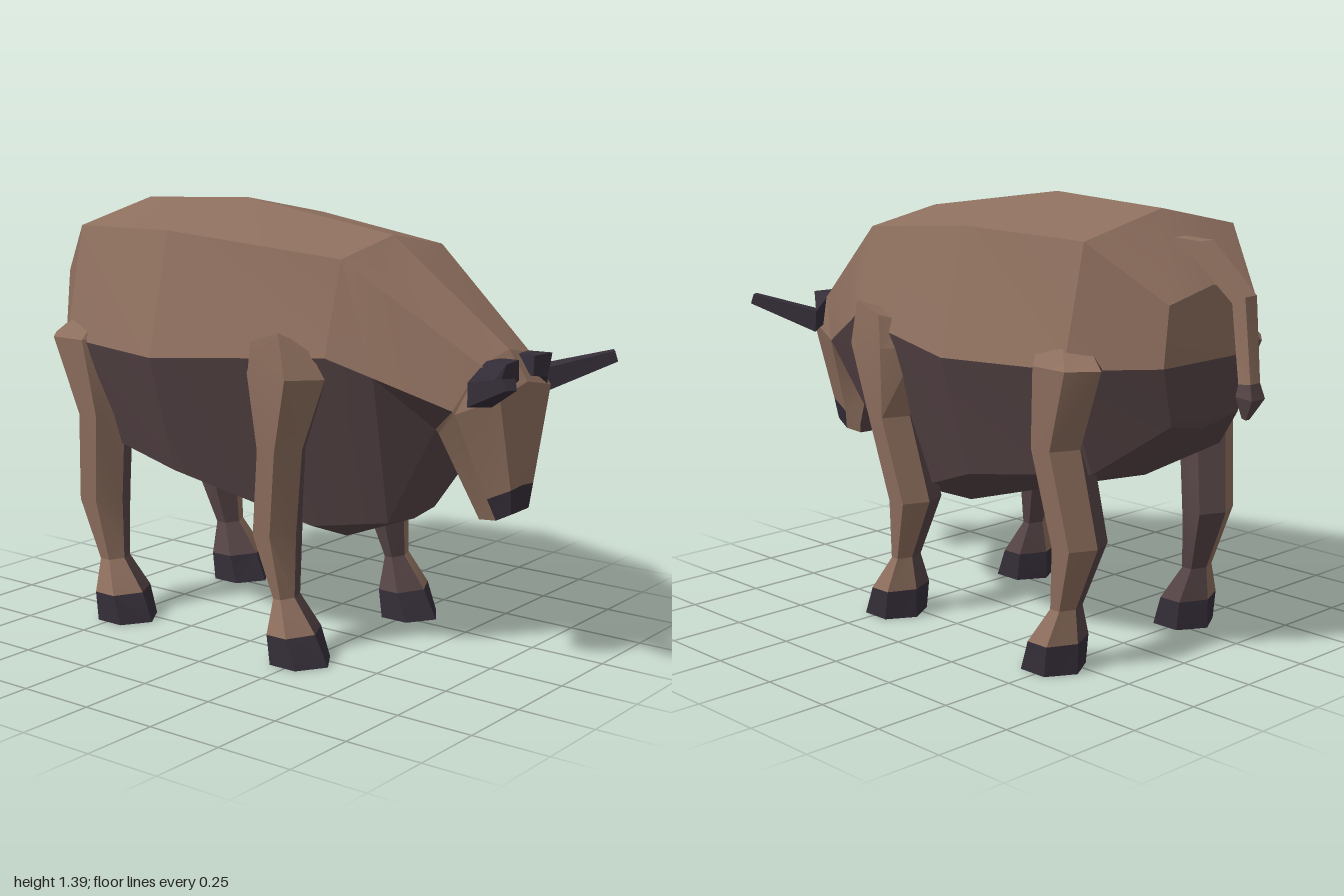
import * as THREE from 'three';
import { toCreasedNormals } from 'three/addons/utils/BufferGeometryUtils.js';

const V = (p) => new THREE.Vector3(...p);
const HIDE = 0, SHADE = 1, HORN = 2;

// Skin a list of closed rings, with end caps. paint(segment, strip) picks the colour.
function loft(name, rings, mats, paint, crease = 0.3) {
  const n = rings[0].length, last = rings.length - 1;
  const tris = [[], [], []];
  const quad = (m, a, b, c, d) => tris[m].push([a, b, c], [a, c, d]);
  for (let i = 0; i < last; i++) {
    for (let j = 0; j < n; j++) {
      const k = (j + 1) % n;
      quad(paint(i, j), rings[i][j], rings[i][k], rings[i + 1][k], rings[i + 1][j]);
    }
  }
  for (let j = 0; j < n / 2; j++) {
    const a = j, b = j + 1, c = (n - j - 1) % n, d = (n - j) % n;
    const s = rings[0], e = rings[last];
    quad(paint(0, j), s[d], s[c], s[b], s[a]);
    quad(paint(last - 1, j), e[a], e[b], e[c], e[d]);
  }
  // turn the skin outwards if its signed volume is negative
  let volume = 0;
  tris.flat().forEach(([a, b, c]) => { volume += V(a).dot(V(b).cross(V(c))); });
  const pos = [];
  const geo = new THREE.BufferGeometry();
  tris.forEach((list, m) => {
    const start = pos.length / 3;
    for (const [a, b, c] of list) {
      if (V(b).sub(V(a)).cross(V(c).sub(V(a))).length() < 1e-7) continue;
      pos.push(...a, ...(volume < 0 ? [...c, ...b] : [...b, ...c]));
    }
    if (pos.length / 3 > start) geo.addGroup(start, pos.length / 3 - start, m);
  });
  geo.setAttribute('position', new THREE.Float32BufferAttribute(pos, 3));
  const mesh = new THREE.Mesh(toCreasedNormals(geo, crease), mats);
  mesh.name = name;
  return mesh;
}

// Half profile [top, shoulder, side, lower, bottom] mirrored to a ring of eight
const mirrored = (h) => [...h, ...[3, 2, 1].map((i) => [h[i][0], h[i][1], -h[i][2]])];

// Square rings along a path of [x, y, z, radius]
function pathRings(path, ref) {
  return path.map((p, i) => {
    const a = path[Math.max(0, i - 1)], b = path[Math.min(path.length - 1, i + 1)];
    const t = V(b.slice(0, 3)).sub(V(a.slice(0, 3))).normalize();
    const u = V(ref).cross(t).normalize(), w = t.clone().cross(u);
    return [[1, 1], [1, -1], [-1, -1], [-1, 1]].map(([f, g]) =>
      V(p.slice(0, 3)).addScaledVector(u, f * p[3]).addScaledVector(w, g * p[3]).toArray());
  });
}

// Six-sided leg rings from rows of [y, back x, front x, inner z, outer z]
const legRings = (rows, s) => rows.map(([y, xb, xf, zi, zo, rise = 0]) => {
  const zm = (zi + zo) / 2, w = xf - xb;
  return [
    [xf, y, zm], [xf - w * 0.28, y + rise, zo], [xb + w * 0.25, y + rise * 0.4, zo],
    [xb, y, zm], [xb + w * 0.25, y, zi], [xf - w * 0.28, y, zi],
  ].map(([x, yy, z]) => [x, yy, z * s]);
});

export function createModel() {
  const mat = (name, color) => {
    const m = new THREE.MeshStandardMaterial({ color });
    m.name = name;
    return m;
  };
  const mats = [mat('brown hide', 0x8f705f), mat('dark underside', 0x574547), mat('horn and hoof', 0x352e39)];
  const model = new THREE.Group();
  model.name = 'bull';

  // Body, from rump to neck
  const neck = [[0.79, 1.0, 0], [0.78, 0.97, 0.14], [0.71, 0.83, 0.18], [0.6, 0.75, 0.1], [0.58, 0.74, 0]];
  const body = [
    [[-0.83, 1.17, 0], [-0.83, 1.13, 0.19], [-0.83, 0.95, 0.21], [-0.81, 0.77, 0.15], [-0.8, 0.74, 0]],
    [[-0.63, 1.375, 0], [-0.63, 1.305, 0.33], [-0.63, 0.945, 0.41], [-0.63, 0.62, 0.29], [-0.58, 0.56, 0]],
    [[-0.2, 1.395, 0], [-0.2, 1.32, 0.395], [-0.2, 0.935, 0.49], [-0.2, 0.56, 0.38], [-0.2, 0.45, 0]],
    [[0.37, 1.31, 0], [0.37, 1.26, 0.27], [0.37, 0.975, 0.35], [0.22, 0.41, 0.21], [0.2, 0.33, 0]],
    [[0.5, 1.214, 0], [0.5, 1.168, 0.229], [0.5, 0.92, 0.285], [0.45, 0.44, 0.13], [0.46, 0.43, 0]],
    neck,
  ].map(mirrored);
  const upper = (j) => j < 2 || j > 5;
  model.add(loft('body', body, mats, (i, j) => (upper(j) ? HIDE : SHADE)));

  // Head with dark muzzle
  const head = [
    neck,
    [[0.855, 0.91, 0], [0.85, 0.88, 0.145], [0.715, 0.82, 0.175], [0.605, 0.735, 0.09], [0.585, 0.73, 0]],
    [[0.845, 0.595, 0], [0.845, 0.59, 0.065], [0.77, 0.555, 0.075], [0.715, 0.51, 0.055], [0.71, 0.5, 0]],
    [[0.84, 0.525, 0], [0.84, 0.515, 0.05], [0.79, 0.488, 0.055], [0.725, 0.48, 0.045], [0.72, 0.48, 0]],
  ].map(mirrored);
  model.add(loft('head', head, mats, (i, j) => {
    if (i === 2 && upper(j)) return HORN;
    return j === 3 || j === 4 ? SHADE : HIDE;
  }));

  // Tail with dark tuft
  const tail = pathRings([
    [-0.7, 1.27, 0, 0.028], [-0.79, 1.27, 0, 0.028], [-0.945, 1.14, 0, 0.026],
    [-0.97, 0.9, 0, 0.022], [-0.975, 0.86, 0, 0.03], [-0.96, 0.795, 0, 0.008],
  ], [0, 0, 1]);
  model.add(loft('tail', tail, mats, (i) => (i > 2 ? SHADE : HIDE)));

  // Leg rows run from the ground up; the first segment is the hoof
  const hindRows = [
    [0, -0.59, -0.38, 0.21, 0.39], [0.095, -0.59, -0.42, 0.21, 0.39], [0.2, -0.58, -0.5, 0.25, 0.35],
    [0.4, -0.66, -0.51, 0.21, 0.375], [0.7, -0.62, -0.46, 0.24, 0.415], [0.95, -0.73, -0.46, 0.28, 0.44],
    [1.0, -0.67, -0.46, 0.28, 0.4, 0.01],
  ];
  const foreRows = [
    [0, 0.14, 0.35, 0.21, 0.39], [0.095, 0.14, 0.3, 0.21, 0.39], [0.2, 0.16, 0.22, 0.25, 0.35],
    [0.4, 0.08, 0.22, 0.21, 0.375], [0.68, 0.13, 0.27, 0.24, 0.415], [0.91, 0.07, 0.37, 0.26, 0.435],
    [0.99, 0.1, 0.32, 0.28, 0.43, 0.06],
  ];
  const legPaint = (i, j) => (i === 0 ? HORN : j > 2 && j !== 3 ? SHADE : j === 3 ? SHADE : HIDE);

  for (const [side, s] of [['left', -1], ['right', 1]]) {
    model.add(loft(side + 'HindLeg', legRings(hindRows, s), mats, legPaint));
    model.add(loft(side + 'ForeLeg', legRings(foreRows, s), mats, legPaint));
    // Bent horn
    const horn = pathRings([
      [0.82, 0.95, 0.045 * s, 0.03], [0.825, 0.945, 0.11 * s, 0.038],
      [0.8, 0.89, 0.175 * s, 0.036], [0.98, 0.96, 0.305 * s, 0.017],
    ], [0, 1, 0]);
    model.add(loft(side + 'Horn', horn, mats, () => HORN));
  }
  return model;
}
